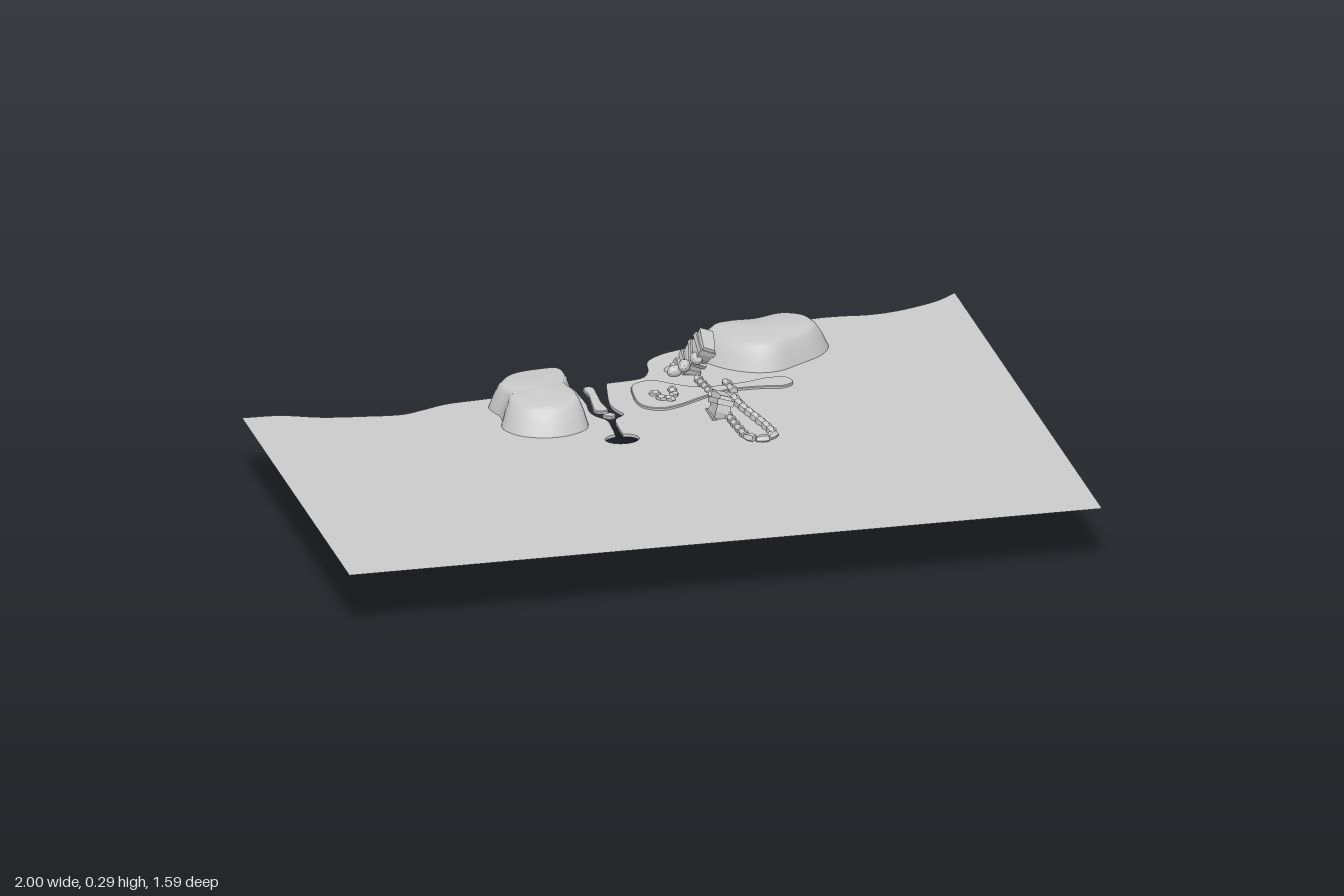
import * as THREE from 'three';

const GROUND = 0.163;
const mat = new THREE.MeshStandardMaterial({ color: 0xcccccc, side: THREE.DoubleSide });
const flatMat = new THREE.MeshStandardMaterial({ color: 0xcccccc, side: THREE.DoubleSide, flatShading: true });

// Outlines are [x, z] pairs; shapes use (x, -z) and are laid flat afterwards.
const smooth = (pts, closed, n) =>
  new THREE.CatmullRomCurve3(pts.map(([x, z]) => new THREE.Vector3(x, 0, z)), closed)
    .getPoints(n).slice(0, closed ? n : n + 1).map(p => [p.x, p.z]);
const toShape = pts => new THREE.Shape(pts.map(([x, z]) => new THREE.Vector2(x, -z)));

function add(parent, name, geometry, material = mat) {
  const mesh = new THREE.Mesh(geometry, material);
  mesh.name = name;
  parent.add(mesh);
  return mesh;
}

// Flat slab with a small bevel, from y0 up by h
function slab(parent, name, pts, y0, h) {
  const g = new THREE.ExtrudeGeometry(toShape(pts), {
    depth: h, bevelEnabled: true, bevelThickness: 0.002, bevelSize: 0.002, bevelSegments: 1
  });
  add(parent, name, g.rotateX(-Math.PI / 2)).position.y = y0;
}

// Vertical wall hanging along an open outline
function wall(parent, name, pts, y0, y1) {
  const pos = [], idx = [];
  pts.forEach(([x, z], i) => {
    pos.push(x, y0, z, x, y1, z);
    if (i) idx.push(2 * i - 2, 2 * i, 2 * i - 1, 2 * i - 1, 2 * i, 2 * i + 1);
  });
  const g = new THREE.BufferGeometry();
  g.setAttribute('position', new THREE.Float32BufferAttribute(pos, 3));
  g.setIndex(idx);
  g.computeVertexNormals();
  add(parent, name, g);
}

// Boulder: one outline lofted upward through shrinking levels and capped
function boulder(parent, name, outline) {
  const ring = smooth(outline, true, 48), n = ring.length;
  const cx = ring.reduce((s, p) => s + p[0], 0) / n, cz = ring.reduce((s, p) => s + p[1], 0) / n;
  const levels = [[0, 1], [0.035, 0.91], [0.06, 0.82], [0.072, 0.74]];
  const pos = [], idx = [];
  for (const [y, s] of levels)
    for (const [x, z] of ring) pos.push(cx + (x - cx) * s, GROUND + y, cz + (z - cz) * s);
  pos.push(cx, GROUND + 0.073, cz);
  const top = n * levels.length;
  for (let i = 0; i < n; i++) {
    const j = (i + 1) % n;
    for (let l = 0; l < levels.length - 1; l++) {
      const a = l * n + i, b = l * n + j;
      idx.push(a, a + n, b, b, a + n, b + n);
    }
    idx.push(top - n + i, top, top - n + j);
  }
  const g = new THREE.BufferGeometry();
  g.setAttribute('position', new THREE.Float32BufferAttribute(pos, 3));
  g.setIndex(idx);
  g.computeVertexNormals();
  add(parent, name, g);
}

// Rough ribbed stake running between two points, broad along z
function stake(parent, name, from, to, width, thick) {
  const a = new THREE.Vector3(...from), b = new THREE.Vector3(...to);
  const group = new THREE.Group(), len = a.distanceTo(b);
  group.name = name;
  const core = new THREE.BoxGeometry(thick * 0.8, len, width * 0.9, 2, 10, 3);
  const p = core.attributes.position;
  for (let i = 0; i < p.count; i++) {
    const k = 1 + 0.1 * Math.sin(p.getY(i) * 90 + p.getZ(i) * 40);
    p.setX(i, p.getX(i) * k);
    p.setZ(i, p.getZ(i) * k);
  }
  core.computeVertexNormals();
  add(group, 'stakeCore', core, flatMat);
  for (let i = 0; i < 5; i++) {
    const rib = add(group, 'stakeRib', new THREE.BoxGeometry(thick, len * 0.07, width), flatMat);
    rib.position.y = ((i + 0.5) / 5 - 0.5) * len;
    rib.rotation.x = 0.15 * (i % 2 ? 1 : -1);
  }
  group.position.copy(a).add(b).multiplyScalar(0.5);
  group.quaternion.setFromUnitVectors(new THREE.Vector3(0, 1, 0), b.sub(a).normalize());
  parent.add(group);
}

// String of elongated stones following a path
function stoneString(parent, name, pts, count) {
  const curve = new THREE.CatmullRomCurve3(pts.map(([x, z]) => new THREE.Vector3(x, GROUND + 0.004, z)));
  const len = curve.getLength() / count;
  for (let i = 0; i < count; i++) {
    const t = (i + 0.5) / count;
    const stone = add(parent, name, new THREE.CylinderGeometry(0.008, 0.012, len * 0.95, 6, 2), flatMat);
    const p = stone.geometry.attributes.position;
    for (let v = 0; v < p.count; v++)
      if (Math.abs(p.getY(v)) < 0.001) { p.setX(v, p.getX(v) * 1.35); p.setZ(v, p.getZ(v) * 1.35); }
    stone.position.copy(curve.getPointAt(t));
    stone.quaternion.setFromUnitVectors(new THREE.Vector3(0, 1, 0), curve.getTangentAt(t));
  }
}

export function createModel() {
  const model = new THREE.Group();
  model.name = 'rockyShore';

  // Ground sheet outline: wavy back edge broken by a channel ending in a pool
  const backLeft = smooth([[-1, -.37], [-.9, -.363], [-.8, -.325], [-.69, -.305], [-.59, -.295], [-.53, -.315],
    [-.465, -.34], [-.37, -.35], [-.28, -.362], [-.21, -.39], [-.16, -.406], [-.13, -.39], [-.118, -.35]], false, 60);
  const backRight = smooth([[-.027, -.385], [.07, -.4], [.096, -.44], [.112, -.51], [.165, -.556], [.27, -.588],
    [.38, -.61], [.445, -.625], [.51, -.68], [.59, -.706], [.67, -.708], [.75, -.7], [.83, -.711],
    [.94, -.754], [1, -.8]], false, 60);
  const pool = [];
  for (let i = 0; i <= 20; i++) {
    const a = -Math.PI / 2 - 0.2 - (i / 20) * (2 * Math.PI - 0.4);
    pool.push([-.083 + .045 * Math.cos(a), .01 + .035 * Math.sin(a)]);
  }
  const channel = [
    ...smooth([[-.118, -.34], [-.114, -.25], [-.119, -.2], [-.111, -.165], [-.09, -.13], [-.09, -.07], [-.093, -.024]], false, 24),
    ...pool,
    ...smooth([[-.073, -.024], [-.072, -.08], [-.066, -.13], [-.037, -.16], [-.047, -.19], [-.054, -.24],
      [-.042, -.32], [-.03, -.375]], false, 24)
  ];
  const rightRock = [[.245, -.51], [.262, -.57], [.325, -.588], [.41, -.588], [.51, -.618], [.575, -.585], [.594, -.515],
    [.565, -.455], [.49, -.4], [.42, -.362], [.355, -.37], [.28, -.43]];
  const leftRock = [[-.31, -.365], [-.21, -.39], [-.145, -.385], [-.135, -.32], [-.155, -.24], [-.14, -.16], [-.155, -.08],
    [-.235, -.04], [-.325, -.065], [-.365, -.13], [-.35, -.21], [-.365, -.29]];

  const sheet = toShape([...backLeft, ...channel, ...backRight, [1, .79], [-1, .79]]);
  sheet.holes.push(new THREE.Path(smooth(rightRock, true, 48).map(([x, z]) => new THREE.Vector2(x, -z))));
  add(model, 'ground', new THREE.ShapeGeometry(sheet).rotateX(-Math.PI / 2)).position.y = GROUND;
  wall(model, 'channelWall', channel, GROUND - 0.008, GROUND);

  // Islands inside the channel
  slab(model, 'channelIsland', smooth([[-.092, -.365], [-.073, -.365], [-.072, -.31], [-.075, -.25], [-.073, -.195],
    [-.1, -.195], [-.099, -.25], [-.092, -.31]], true, 32), GROUND - 0.006, 0.006);
  slab(model, 'channelIslet', smooth([[-.09, -.165], [-.072, -.175], [-.06, -.163], [-.073, -.148]], true, 12),
    GROUND - 0.006, 0.006);

  boulder(model, 'leftBoulder', leftRock);
  boulder(model, 'rightBoulder', rightRock);

  // Long flat stone with pebbles on its broad end
  slab(model, 'flatStone', smooth([[.018, -.28], [.035, -.345], [.085, -.363], [.14, -.32], [.2, -.285], [.32, -.293],
    [.38, -.31], [.43, -.302], [.437, -.265], [.405, -.245], [.35, -.255], [.25, -.25], [.18, -.215], [.11, -.175],
    [.06, -.165], [.022, -.195]], true, 64), GROUND - 0.008, 0.013);
  [[.07, -.26], [.12, -.275], [.08, -.225], [.115, -.24], [.1, -.215]].forEach(([x, z], i) => {
    const pebble = add(model, 'pebble', new THREE.DodecahedronGeometry(0.014), flatMat);
    pebble.position.set(x, GROUND + 0.01, z);
    pebble.scale.set(1.2, 0.7, 0.9);
    pebble.rotation.y = i * 1.3;
  });

  // Looped string of stones and the two shorter ends behind the flat stone
  stoneString(model, 'loopStone', [[.265, -.2], [.27, -.13], [.285, -.05], [.3, .04], [.3, .085], [.265, .11], [.235, .09],
    [.225, .03], [.22, -.06], [.215, -.15], [.213, -.24]], 20);
  stoneString(model, 'strandStone', [[.213, -.24], [.21, -.3], [.205, -.36]], 4);
  stoneString(model, 'strandStone', [[.275, -.24], [.27, -.32]], 2);

  // Stakes leaning through the ground
  stake(model, 'frontStake', [.15, .012, -.08], [.215, .215, -.11], .08, .045);
  stake(model, 'backStake', [.165, .105, -.465], [.24, .262, -.375], .075, .045);

  // Ring of nodules around the back stake
  for (let i = 0; i < 9; i++) {
    const a = (i / 9) * Math.PI * 2;
    const nodule = add(model, 'nodule', new THREE.IcosahedronGeometry(0.02, 1), flatMat);
    nodule.position.set(.2 + .045 * Math.cos(a), .19 + .025 * Math.cos(a) + .02 * Math.sin(a), -.418 + .045 * Math.sin(a));
    nodule.scale.set(1.1, 0.85, 0.8);
    nodule.rotation.y = -a;
  }
  return model;
}
